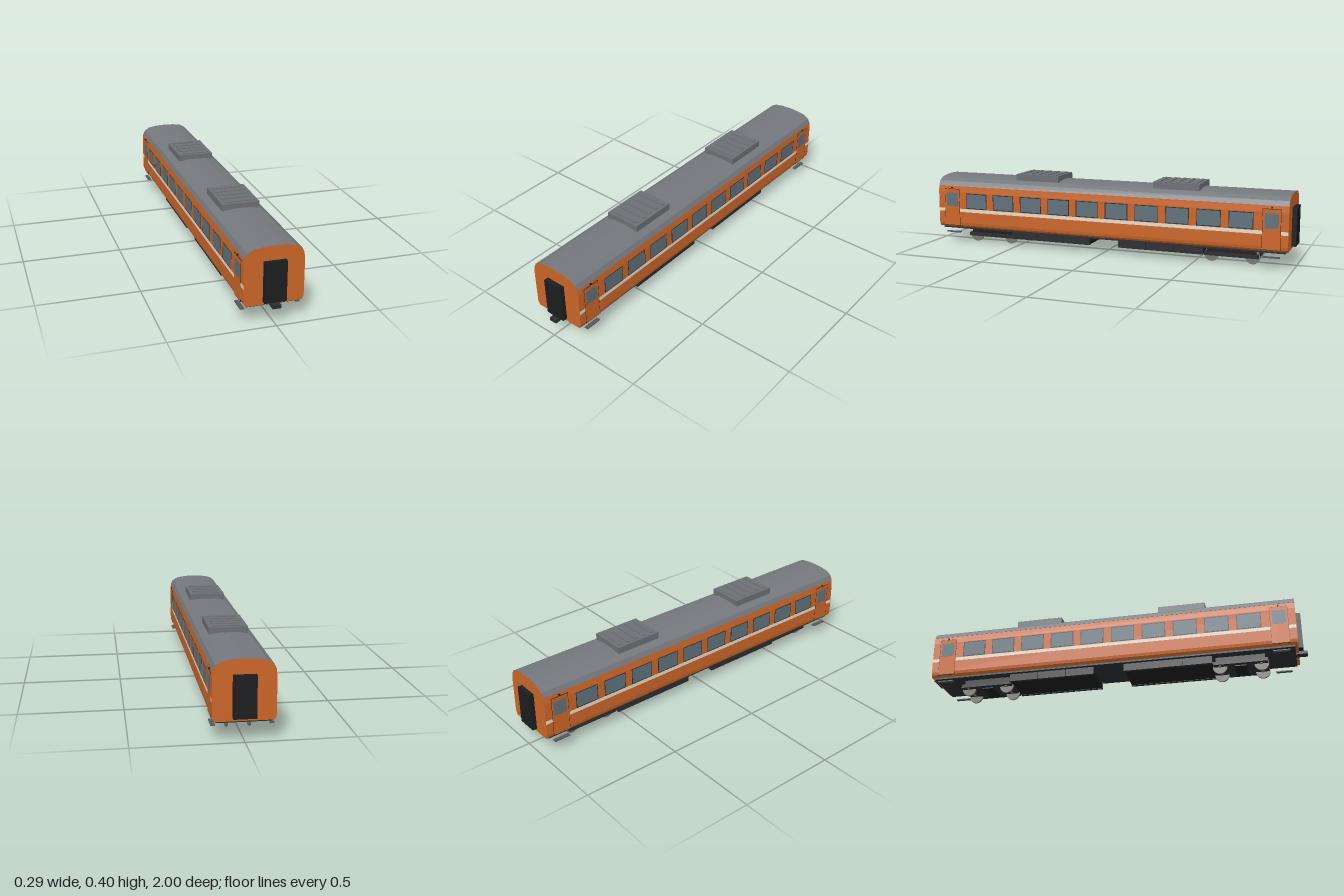
import * as THREE from 'three';

const mat = (color, extra = {}) => new THREE.MeshStandardMaterial({ color, ...extra });
const MID = -0.01; // lengthwise middle of the car body

export function createModel() {
  const car = new THREE.Group();
  car.name = 'passengerCar';
  const orange = mat(0xcc6628), roofGrey = mat(0x74787d), unitGrey = mat(0x6c6f74),
    black = mat(0x1c1d1f), dark = mat(0x2b2d30), glass = mat(0x5f717c),
    cream = mat(0xe6dccb), steel = mat(0x7a766d), stepGrey = mat(0x55585c);

  const add = (name, geometry, material, x, y, z, parent = car) => {
    const mesh = new THREE.Mesh(geometry, material);
    mesh.name = name;
    mesh.position.set(x, y, z);
    parent.add(mesh);
    return mesh;
  };
  // box given by its ranges
  const box = (name, material, [x0, x1], [y0, y1], [z0, z1], parent = car) =>
    add(name, new THREE.BoxGeometry(x1 - x0, y1 - y0, z1 - z0), material,
      (x0 + x1) / 2, (y0 + y1) / 2, (z0 + z1) / 2, parent);

  // closed, left-right symmetric section extruded along the car
  const extrudeSection = (name, half, z0, z1, material) => {
    const mirrored = half.filter(p => p[0] > 0).reverse().map(([x, y]) => [-x, y]);
    const shape = new THREE.Shape([...half, ...mirrored].map(p => new THREE.Vector2(...p)));
    const geometry = new THREE.ExtrudeGeometry(shape, { depth: z1 - z0, bevelEnabled: false });
    return add(name, geometry, material, 0, 0, z0);
  };

  // body shell and roof skin
  const roofCurve = [[0.138, 0.318], [0.126, 0.342], [0.099, 0.359], [0.05, 0.367], [0, 0.369]];
  extrudeSection('body', [[0.131, 0.09], [0.139, 0.1], [0.142, 0.115], [0.142, 0.285], ...roofCurve],
    -0.977, 0.957, orange);
  extrudeSection('roof', roofCurve.map(([x, y]) => [x * 1.008, y + 0.001]), -0.976, 0.956, roofGrey);

  // sides: stripe, windows, doors, door lamps, steps
  for (const s of [-1, 1]) {
    const side = new THREE.Group();
    side.name = s > 0 ? 'leftSide' : 'rightSide';
    car.add(side);
    const panel = (name, material, out, y, z) =>
      box(name, material, s > 0 ? [0.134, out] : [-out, -0.134], y, z, side);
    panel('stripe', cream, 0.1426, [0.175, 0.193], [-0.976, 0.956]);
    for (let i = 0; i < 10; i++) {
      const z = MID + (i - 4.5) * 0.163;
      panel('windowFrame', dark, 0.1424, [0.195, 0.28], [z - 0.062, z + 0.062]);
      panel('window', glass, 0.143, [0.199, 0.276], [z - 0.058, z + 0.058]);
    }
    for (const e of [-1, 1]) {
      const z = MID + e * 0.884;
      panel('doorSeam', dark, 0.1427, [0.098, 0.302], [z - 0.046, z + 0.046]);
      panel('door', orange, 0.1432, [0.1, 0.3], [z - 0.044, z + 0.044]);
      panel('doorWindow', glass, 0.1438, [0.205, 0.28], [z - 0.034, z + 0.034]);
      panel('doorLamp', black, 0.146, [0.305, 0.311], [z - 0.004, z + 0.004]);
      box('step', stepGrey, s > 0 ? [0.122, 0.142] : [-0.142, -0.122],
        [0.058, 0.063], [z - 0.042, z + 0.042], side);
    }
  }

  // end gangways and front coupler
  box('frontGangway', black, [-0.052, 0.052], [0.105, 0.3], [0.95, 0.981]);
  box('rearGangway', black, [-0.052, 0.052], [0.105, 0.3], [-1, -0.97]);
  box('coupler', dark, [-0.02, 0.02], [0.084, 0.101], [0.9, 1]);

  // roof units with louvre slats
  for (const z of [-0.397, 0.377]) {
    const unit = new THREE.Group();
    unit.name = 'roofUnit';
    unit.position.z = z;
    car.add(unit);
    box('unitCase', unitGrey, [-0.094, 0.094], [0.355, 0.395], [-0.123, 0.123], unit);
    for (let i = -2; i <= 2; i++)
      box('slat', unitGrey, [-0.076, 0.076], [0.393, 0.399], [i * 0.048 - 0.009, i * 0.048 + 0.009], unit);
  }

  // underframe and equipment boxes
  box('underframe', dark, [-0.125, 0.125], [0.08, 0.091], [-0.962, 0.942]);
  for (const e of [-1, 1]) {
    const z = MID + e * 0.308;
    box('equipmentCore', black, [-0.1, 0.1], [0.042, 0.082], [z - 0.226, z + 0.226]);
    for (const s of [-1, 1])
      for (let i = -1; i <= 1; i++)
        box('equipmentBox', dark, [s * 0.1 - 0.008, s * 0.1 + 0.008], [0.04, 0.079],
          [z + i * 0.153 - 0.075, z + i * 0.153 + 0.075]);
  }

  // bogies
  const wheelGeometry = new THREE.CylinderGeometry(0.037, 0.037, 0.01, 24).rotateZ(Math.PI / 2);
  const axleGeometry = new THREE.CylinderGeometry(0.007, 0.007, 0.15, 12).rotateZ(Math.PI / 2);
  for (const e of [-1, 1]) {
    const bogie = new THREE.Group();
    bogie.name = e > 0 ? 'frontBogie' : 'rearBogie';
    bogie.position.z = MID + e * 0.674;
    car.add(bogie);
    box('bogieFrame', dark, [-0.088, 0.088], [0.035, 0.053], [-0.138, 0.138], bogie);
    box('bolster', black, [-0.075, 0.075], [0.053, 0.082], [-0.125, 0.125], bogie);
    box('bogieBeam', black, [-0.063, 0.063], [0.03, 0.036], [-0.03, 0.03], bogie);
    for (const z of [-0.105, 0.105]) {
      add('axle', axleGeometry, steel, 0, 0.037, z, bogie);
      for (const x of [-0.053, 0.053]) add('wheel', wheelGeometry, steel, x, 0.037, z, bogie);
    }
  }
  return car;
}
